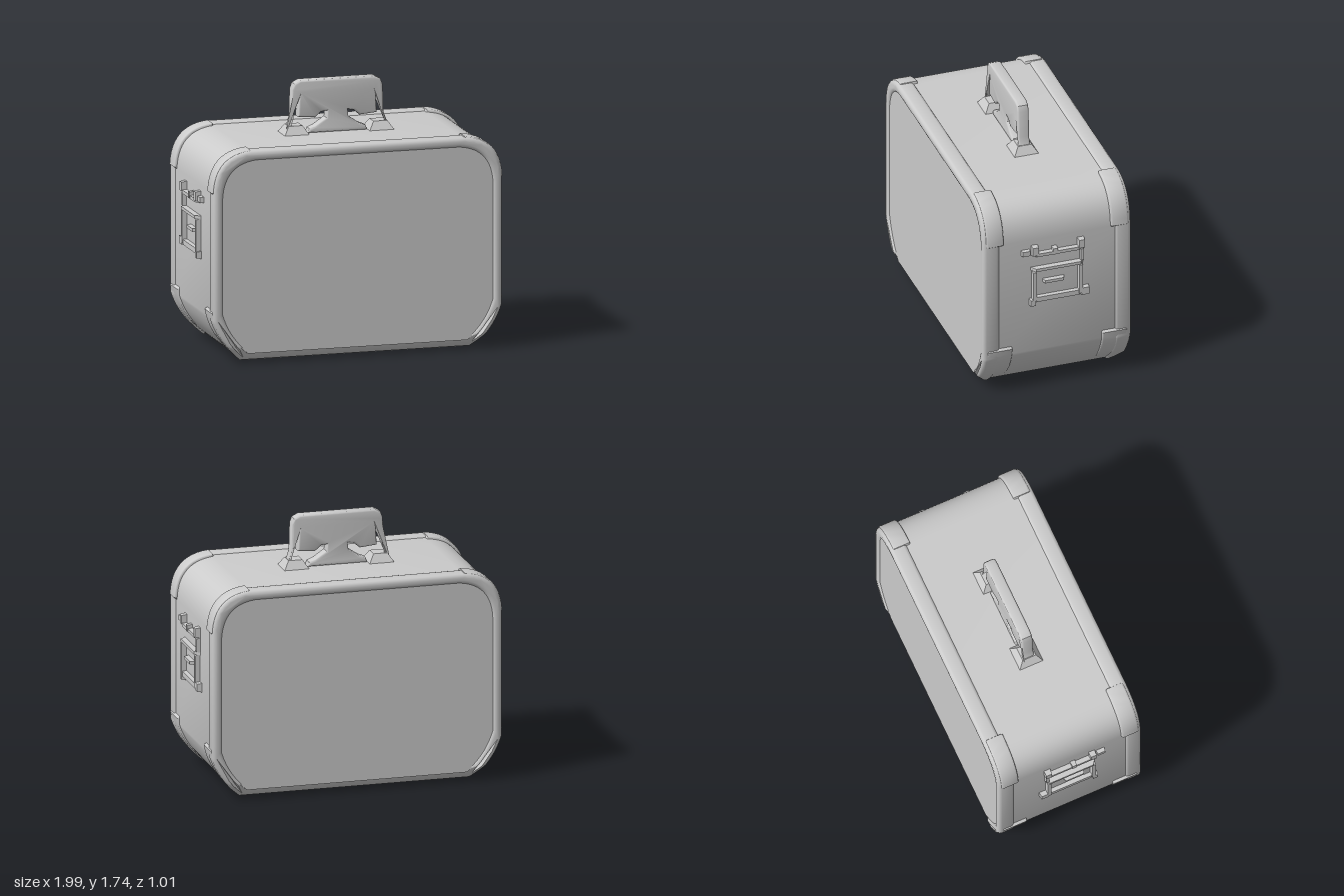
import * as THREE from 'three';
import { toCreasedNormals } from 'three/addons/utils/BufferGeometryUtils.js';

const material = new THREE.MeshStandardMaterial({ color: 0xcccccc, roughness: 0.8 });

function add(parent, name, geometry, x = 0, y = 0, z = 0) {
  const mesh = new THREE.Mesh(geometry, material);
  mesh.name = name;
  mesh.position.set(x, y, z);
  parent.add(mesh);
  return mesh;
}

// Case outline: soft top corners, slanted bottom corners, shrunk by d
function traceOutline(path, d) {
  const w = 0.97 - d, t = 1.4 - d, b = 0.01 + d, k = d * 0.6;
  path.moveTo(-0.77 + k, b);
  path.lineTo(0.77 - k, b);
  path.quadraticCurveTo(0.92 - d, 0.13 + k, w, 0.29 + k);
  path.lineTo(w, 1.13 - k);
  path.quadraticCurveTo(w - 0.01, t - 0.02, 0.72 - k, t);
  path.lineTo(-0.72 + k, t);
  path.quadraticCurveTo(-w + 0.01, t - 0.02, -w, 1.13 - k);
  path.lineTo(-w, 0.29 + k);
  path.quadraticCurveTo(-0.92 + d, 0.13 + k, -0.77 + k, b);
  return path;
}

// Extrusion centred on z with an inset rounded edge
function slab(shape, depth, bevel) {
  const g = new THREE.ExtrudeGeometry(shape, {
    depth: depth - 2 * bevel, curveSegments: 14, bevelEnabled: bevel > 0,
    bevelThickness: bevel, bevelSize: bevel, bevelOffset: -bevel, bevelSegments: 3,
  });
  g.translate(0, 0, -depth / 2 + bevel);
  return g;
}

// Slope the lower lip of a rim or guard inward
function slopeLip(g, limit = 0.1) {
  const p = g.attributes.position;
  for (let i = 0; i < p.count; i++) {
    const z = p.getZ(i);
    if (p.getY(i) < limit && z > 0.42) p.setZ(i, z - (limit - p.getY(i)) * 0.75);
  }
  return toCreasedNormals(g, 0.6);
}

function polygon(points) {
  return new THREE.Shape(points.map(([x, y]) => new THREE.Vector2(x, y)));
}

// Thin guard that wraps a quarter of the outline
function cornerGuard(a, c, b, thick, depth) {
  const out = new THREE.QuadraticBezierCurve(
    new THREE.Vector2(...a), new THREE.Vector2(...c), new THREE.Vector2(...b)).getPoints(12);
  const centre = new THREE.Vector2(0.4, 0.7);
  const inner = out.map((p) => p.clone().lerp(centre, thick)).reverse();
  return slab(new THREE.Shape([...out, ...inner]), depth, 0.012);
}

function buildRims(group) {
  const ring = traceOutline(new THREE.Shape(), 0);
  ring.holes.push(traceOutline(new THREE.Path(), 0.065));
  for (const side of [1, -1]) {
    const end = new THREE.Group();
    end.name = side > 0 ? 'frontRim' : 'backRim';
    end.rotation.y = side > 0 ? 0 : Math.PI;
    group.add(end);
    const rim = slab(ring, 0.115, 0.025);
    rim.translate(0, 0, 0.4475);
    add(end, 'rim', slopeLip(rim));
    for (const s of [1, -1]) {
      const corner = new THREE.Group();
      corner.name = 'cornerGuards';
      corner.scale.x = s;
      end.add(corner);
      const low = cornerGuard([0.72, 0.0], [0.94, 0.12], [0.978, 0.34], 0.06, 0.17);
      low.translate(0, 0, 0.39);
      add(corner, 'bottomCornerGuard', slopeLip(low));
      const high = cornerGuard([0.977, 1.13], [0.965, 1.385], [0.72, 1.405], 0.05, 0.12);
      high.translate(0, 0, 0.425);
      add(corner, 'topCornerGuard', toCreasedNormals(high, 0.6));
    }
  }
}

// Tapered rectangular block
function frustum(w, h, d, topScale) {
  const g = new THREE.BoxGeometry(w, h, d);
  const p = g.attributes.position;
  for (let i = 0; i < p.count; i++) {
    if (p.getY(i) > 0) {
      p.setX(i, p.getX(i) * topScale);
      p.setZ(i, p.getZ(i) * topScale);
    }
  }
  return toCreasedNormals(g, 0.3);
}

function buildHandle(group) {
  const handle = new THREE.Group();
  handle.name = 'handle';
  group.add(handle);
  // Half contour from the outer foot, over the grip, to the inward hook
  const outer = [[0.35, 1.39], [0.325, 1.45], [0.31, 1.5], [0.305, 1.68], [0.29, 1.72], [0.25, 1.74]];
  const inner = [[0.235, 1.675], [0.255, 1.655], [0.265, 1.5], [0.15, 1.49], [0.11, 1.525],
    [0.07, 1.53], [0.075, 1.485], [0.15, 1.435], [0.19, 1.42], [0.2, 1.39]];
  const flip = (pts) => pts.map(([x, y]) => [-x, y]).reverse();
  const contour = [...outer, ...flip(outer), ...flip(inner).reverse(), ...[...inner].reverse()];
  add(handle, 'grip', toCreasedNormals(slab(polygon(contour), 0.078, 0.013), 0.7));
  for (const s of [1, -1]) {
    add(handle, 'handleFoot', frustum(0.17, 0.06, 0.17, 0.55), s * 0.285, 1.415, 0);
  }
}

function buildLatch(group, s) {
  const latch = new THREE.Group();
  latch.name = s > 0 ? 'leftLatch' : 'rightLatch';
  latch.scale.x = s;
  group.add(latch);
  // [name, z, y, length in z, height, thickness]
  const parts = [
    ['frameTop', 0, 0.91, 0.36, 0.024, 0.04], ['frameBottom', 0, 0.685, 0.34, 0.04, 0.03],
    ['frameSide', 0.16, 0.785, 0.028, 0.25, 0.035], ['frameSide', -0.155, 0.785, 0.028, 0.25, 0.035],
    ['latchTongue', 0.025, 0.81, 0.15, 0.024, 0.035], ['upperBar', 0, 1.018, 0.34, 0.026, 0.035],
    ['upperSide', -0.165, 0.965, 0.022, 0.1, 0.03], ['rivet', 0.155, 1.05, 0.045, 0.07, 0.04],
    ['rivet', 0.02, 1.03, 0.035, 0.05, 0.04], ['rivet', -0.16, 1.05, 0.045, 0.07, 0.04],
    ['cornerTab', -0.185, 0.69, 0.06, 0.06, 0.035], ['cornerTab', 0.17, 0.665, 0.04, 0.05, 0.035],
    ['sideTab', 0.215, 1.04, 0.06, 0.04, 0.03],
  ];
  for (const [name, z, y, length, height, thick] of parts) {
    const bar = frustum(length, thick, height, 0.85);
    bar.rotateY(Math.PI / 2);
    bar.rotateZ(-Math.PI / 2);
    const size = new THREE.Vector3();
    bar.computeBoundingBox();
    bar.boundingBox.getSize(size);
    // Seat each bar in the end wall
    add(latch, name, bar, 0.957 + thick / 2, y, z);
  }
}

export function createModel() {
  const group = new THREE.Group();
  group.name = 'carryCase';

  // Shell between the rims, with both large panels
  add(group, 'shell', toCreasedNormals(slab(traceOutline(new THREE.Shape(), 0.01), 0.8, 0), 0.6));
  const panel = slab(traceOutline(new THREE.Shape(), 0.055), 0.986, 0);
  add(group, 'panels', toCreasedNormals(panel, 0.6));

  buildRims(group);
  buildHandle(group);
  for (const s of [1, -1]) {
    buildLatch(group, s);
    // Raised strips across the underside
    add(group, 'bottomStrip', new THREE.BoxGeometry(0.03, 0.03, 0.8), s * 0.54, 0.02, 0);
  }
  return group;
}
